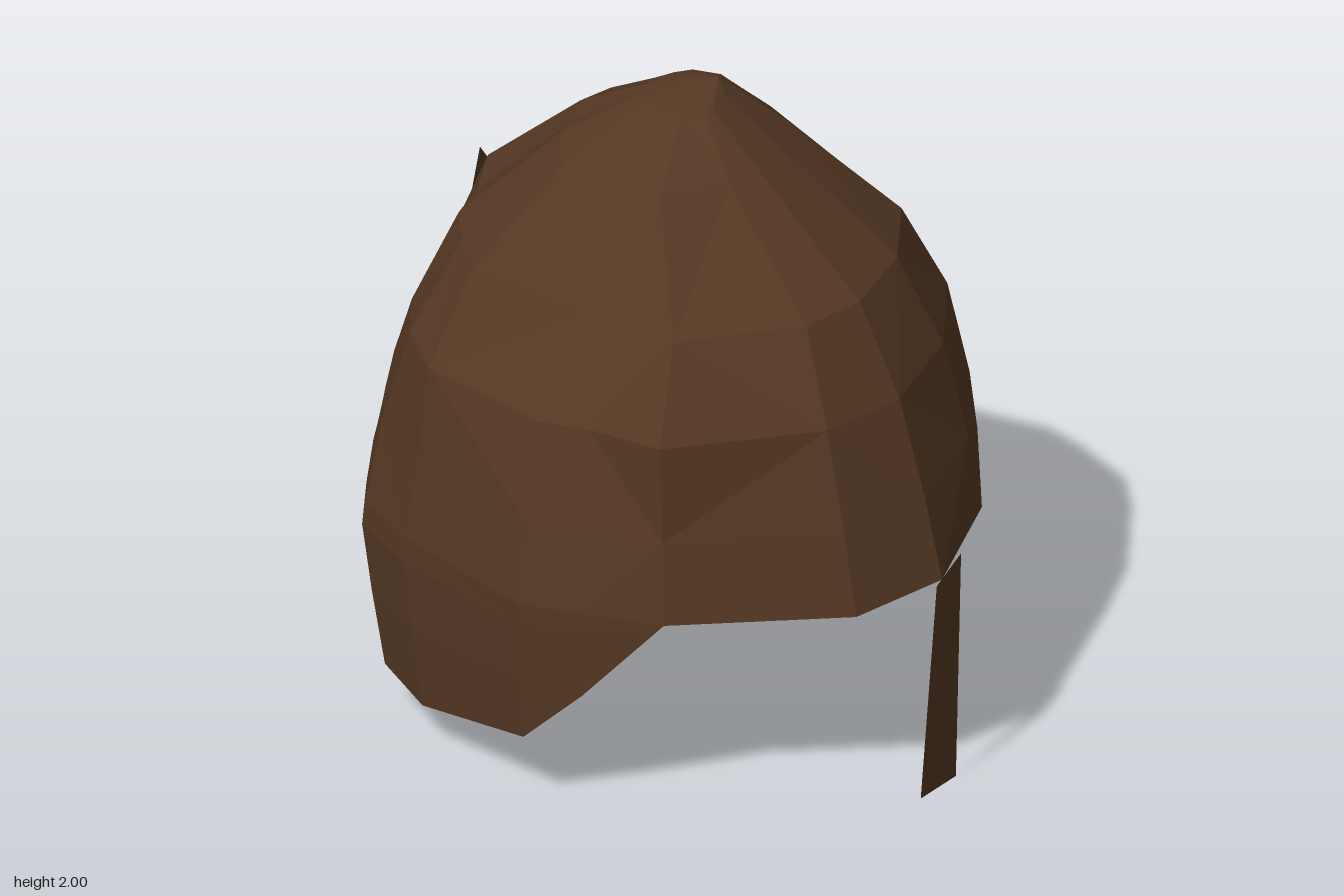
import * as THREE from 'three';

// Shell half-widths by height: [y, +x, -x, +z, -z]
const PROFILE = [
  [2.0, 0.06, -0.05, 0.03, -0.11],
  [1.96, 0.13, -0.12, 0.09, -0.18],
  [1.82, 0.3, -0.36, 0.33, -0.33],
  [1.52, 0.67, -0.7, 0.565, -0.6],
  [1.25, 0.82, -0.82, 0.76, -0.76],
  [0.95, 0.92, -0.92, 0.835, -0.86],
  [0.7, 0.985, -0.97, 0.88, -0.88],
  [0.63, 0.985, -0.99, 0.88, -0.87],
  [0.33, 0.98, -0.93, 0.86, -0.85],
  [0.13, 0.95, -0.88, 0.84, -0.8],
];

// Columns around the head: [angle, rim height, brow height, bulge at the crown, bulge at the brow]
const COLUMNS = [
  [0, 0.71, 0.71, 1, 0.99], [21, 0.7, 0.7, 1.02, 0.985], [57, 0.7, 0.7, 1.1, 0.945], [73, 0.42, 0.7, 0.97, 0.94],
  [84, 0.25, 0.7, 1, 0.985], [115, 0.145, 0.7, 1.07, 0.955], [130, 0.17, 0.7, 1, 0.99], [145, 0.2, 0.7, 0.97, 0.945],
  [160, 0.29, 0.7, 0.91, 0.96], [180, 0.33, 0.7, 1, 1], [200, 0.3, 0.7, 1, 0.945], [215, 0.23, 0.7, 1, 0.985],
  [236, 0.13, 0.74, 1, 0.985], [276, 0.25, 0.8, 1, 0.985], [287, 0.42, 0.82, 1, 0.97], [307, 0.77, 0.78, 1.045, 0.965],
  [333, 0.73, 0.73, 0.99, 0.94],
];

function widths(y) {
  let i = 0;
  while (i < PROFILE.length - 2 && PROFILE[i + 1][0] > y) i++;
  const a = PROFILE[i], b = PROFILE[i + 1];
  const t = (a[0] - y) / (a[0] - b[0]);
  return a.map((v, k) => THREE.MathUtils.lerp(v, b[k], t));
}

function shellPoint([deg, , , crown, brow], y, tuck = 1) {
  const a = THREE.MathUtils.degToRad(deg), c = Math.cos(a), s = Math.sin(a);
  const [, xp, xn, zp, zn] = widths(y);
  const scale = tuck * THREE.MathUtils.mapLinear(THREE.MathUtils.clamp(y, 0.9, 1.5), 0.9, 1.5, brow, crown);
  return [scale * c * (c > 0 ? xp : -xn), y, scale * s * (s > 0 ? zp : -zn)];
}

function flatGeometry(points, index) {
  const g = new THREE.BufferGeometry();
  g.setAttribute('position', new THREE.Float32BufferAttribute(points.flat(), 3));
  g.setIndex(index);
  const flat = g.toNonIndexed();
  flat.computeVertexNormals();
  return flat;
}

// Joins rows of points running around the shell
function loft(rows) {
  const n = rows[0].length, index = [];
  for (let r = 0; r < rows.length - 1; r++) {
    for (let i = 0; i < n; i++) {
      const j = (i + 1) % n;
      const a = r * n + i, b = r * n + j, c = a + n, d = b + n;
      if ((i + r) % 2) index.push(a, b, d, a, d, c);
      else index.push(a, b, c, b, d, c);
    }
  }
  return flatGeometry(rows.flat(), index);
}

export function createModel() {
  const leather = new THREE.MeshStandardMaterial({ color: 0x553823, flatShading: true, side: THREE.DoubleSide });
  leather.name = 'brown leather';
  const group = new THREE.Group();
  const add = (name, geometry) => {
    const mesh = new THREE.Mesh(geometry, leather);
    mesh.name = name;
    group.add(mesh);
  };

  // Faceted dome from the crown to the brow line
  const apex = COLUMNS.map(() => [0.06, 2, -0.11]);
  const domeRows = PROFILE.slice(1, 6).map(([y]) => COLUMNS.map(col => shellPoint(col, y)));
  const browRow = COLUMNS.map(col => shellPoint(col, col[2]));
  add('dome', loft([apex, ...domeRows, browRow]));

  // Ear and neck guard below the brow, with a tucked seam on one side
  const guardRows = [[0, 1], [0.15, 0.94], [0.22, 0.97], [0.55, 1], [1, 1]].map(([f, tuck]) =>
    COLUMNS.map(col => {
      const seam = col[0] > 205 && col[0] < 300 ? tuck : 1;
      return shellPoint(col, THREE.MathUtils.lerp(col[2], col[1], f), seam);
    }));
  add('earAndNeckGuard', loft(guardRows));

  // Flat nose guard hanging at a slight slant from the brow
  add('noseGuard', flatGeometry(
    [[0.985, 0.71, 0.04], [0.93, 0.72, -0.14], [0.935, 0, -0.11], [0.95, 0.01, 0.07]],
    [0, 2, 1, 0, 3, 2]));

  // Loose flap of leather at the back
  add('backFlap', flatGeometry([[-0.77, 1.5, -0.05], [-0.81, 0.9, -0.5], [-0.95, 0.68, -0.08]], [0, 1, 2]));

  return group;
}
